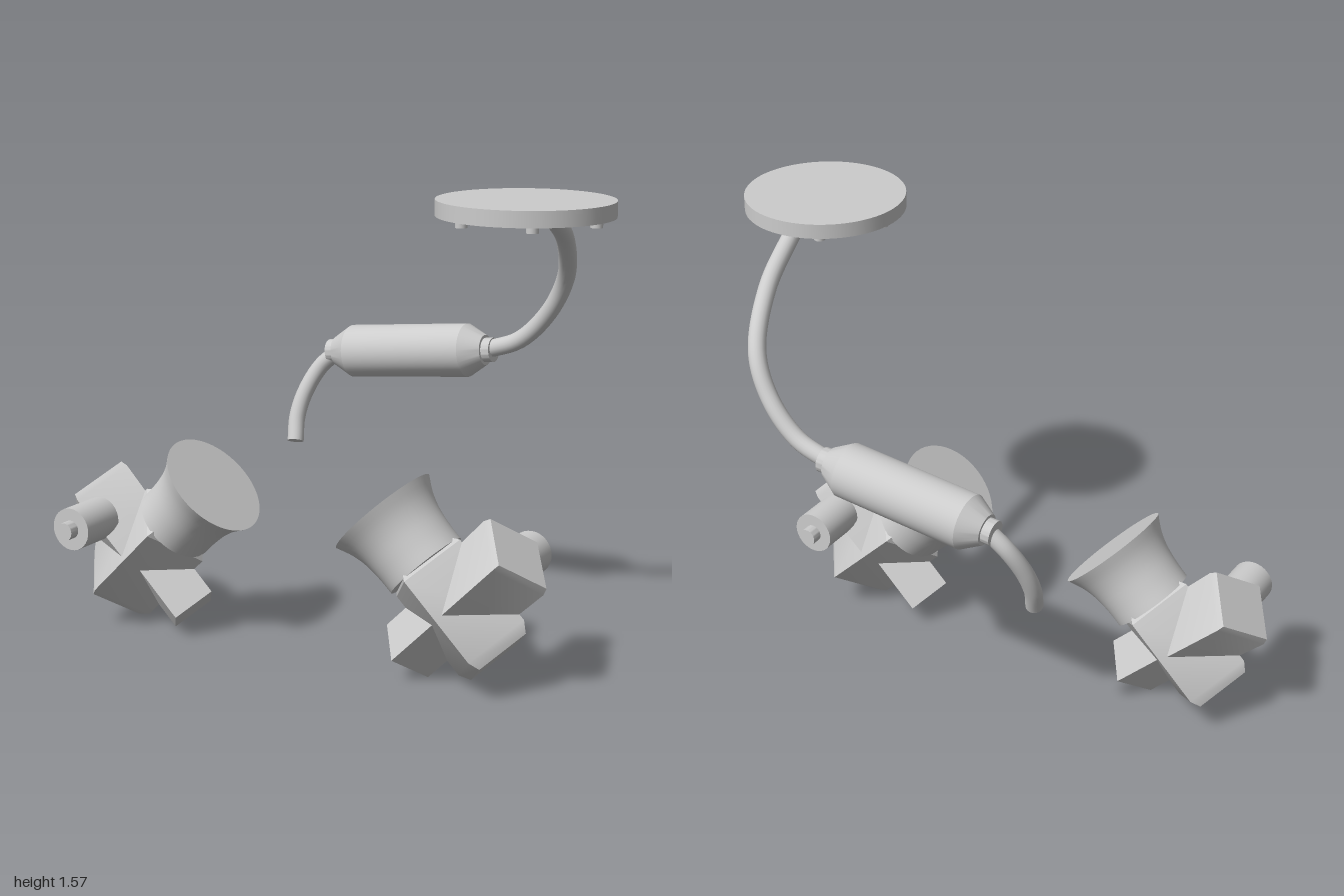
import * as THREE from 'three';
import { toCreasedNormals } from 'three/addons/utils/BufferGeometryUtils.js';

const metal = new THREE.MeshStandardMaterial({ color: 0xcccccc });
metal.name = 'plain grey';

function add(parent, name, geometry, position = [0, 0, 0], rotation = [0, 0, 0]) {
  const mesh = new THREE.Mesh(geometry, metal);
  mesh.name = name;
  mesh.position.set(...position);
  mesh.rotation.set(...rotation);
  parent.add(mesh);
  return mesh;
}

// Closed solid of revolution about y from [radius, height] pairs, bottom to top
function turned(profile, sides) {
  const pts = [[0, profile[0][1]], ...profile, [0, profile[profile.length - 1][1]]];
  const lathe = new THREE.LatheGeometry(pts.map(p => new THREE.Vector2(...p)), sides);
  return toCreasedNormals(lathe, 0.5);
}

// Bent pipe with capped ends
function pipe(parent, name, points, radius) {
  const group = new THREE.Group();
  group.name = name;
  const curve = new THREE.CatmullRomCurve3(points.map(p => new THREE.Vector3(...p)));
  add(group, name + 'Tube', new THREE.TubeGeometry(curve, 40, radius, 20));
  for (const [t, sign] of [[0, -1], [1, 1]]) {
    const cap = add(group, name + 'Cap', new THREE.CircleGeometry(radius, 20));
    cap.position.copy(curve.getPoint(t));
    cap.quaternion.setFromUnitVectors(new THREE.Vector3(0, 0, 1), curve.getTangent(t).multiplyScalar(sign));
  }
  parent.add(group);
}

// Carburettor, its throat running along local y
function carburettor(name) {
  const group = new THREE.Group();
  group.name = name;
  const tilted = new THREE.Group();
  tilted.name = name + 'Parts';
  tilted.rotation.z = -Math.PI / 4;
  group.add(tilted);

  // Square bodies standing on edge, with bevelled ends
  add(tilted, 'throatBody', turned([[0.134, -0.204], [0.16, -0.168], [0.16, 0.155], [0.134, 0.185]], 4));
  add(tilted, 'upperChamber', turned([[0.14, 0], [0.148, 0.27], [0.139, 0.294]], 4), [0, 0, 0], [0, 0, Math.PI / 2]);
  add(tilted, 'lowerBowl', turned([[0.108, 0], [0.108, 0.258]], 4), [0, 0, 0], [0, 0, -Math.PI / 2]);

  // Flared intake
  const flare = new THREE.SplineCurve([[0.142, 0.165], [0.143, 0.22], [0.15, 0.285], [0.166, 0.34], [0.191, 0.39]]
    .map(p => new THREE.Vector2(...p)));
  add(tilted, 'intakeTrumpet', turned(flare.getPoints(14).map(p => [p.x, p.y]), 48));

  // Stepped side knob
  add(tilted, 'sideKnob', turned([[0.073, 0.1], [0.073, 0.27], [0.031, 0.27], [0.031, 0.308]], 32),
    [-0.18, 0, 0], [Math.PI / 2, 0, 0]);
  return group;
}

export function createModel() {
  const model = new THREE.Group();
  model.name = 'carburettorSet';

  // Facing pair, the second turned half way round
  const right = carburettor('rightCarburettor');
  right.position.set(-0.69, 0.265, 0.2);
  const left = carburettor('leftCarburettor');
  left.position.set(0.515, 0.265, 0.2);
  left.rotation.y = Math.PI;
  model.add(right, left);

  // Round cover plate with six bolts underneath
  const cover = new THREE.Group();
  cover.name = 'coverPlate';
  cover.position.set(0.725, 1.53, 0.2);
  add(cover, 'plate', new THREE.CylinderGeometry(0.273, 0.273, 0.05, 64), [0, 0.025, 0]);
  for (let i = 0; i < 6; i++) {
    const a = i * Math.PI / 3;
    add(cover, 'bolt', new THREE.CylinderGeometry(0.019, 0.019, 0.03, 16),
      [0.23 * Math.cos(a), -0.005, 0.23 * Math.sin(a)]);
  }
  model.add(cover);

  // Canister with conical ends and collars
  const canister = turned([[0.042, -0.325], [0.042, -0.295], [0.052, -0.295], [0.092, -0.228],
    [0.092, 0.228], [0.052, 0.295], [0.042, 0.295], [0.042, 0.325]], 40);
  add(model, 'canister', canister, [0, 0.936, -0.423], [0, 0, -Math.PI / 2 + 0.106]);

  // Pipes on either side of the canister
  pipe(model, 'upperPipe', [[0.722, 1.508, 0.005], [0.675, 1.4, -0.21], [0.61, 1.25, -0.365],
    [0.53, 1.12, -0.41], [0.42, 1.015, -0.423], [0.29, 0.967, -0.423]], 0.03);
  pipe(model, 'lowerPipe', [[-0.29, 0.905, -0.423], [-0.355, 0.845, -0.408], [-0.397, 0.755, -0.37],
    [-0.41, 0.67, -0.335], [-0.397, 0.588, -0.3]], 0.029);
  return model;
}
